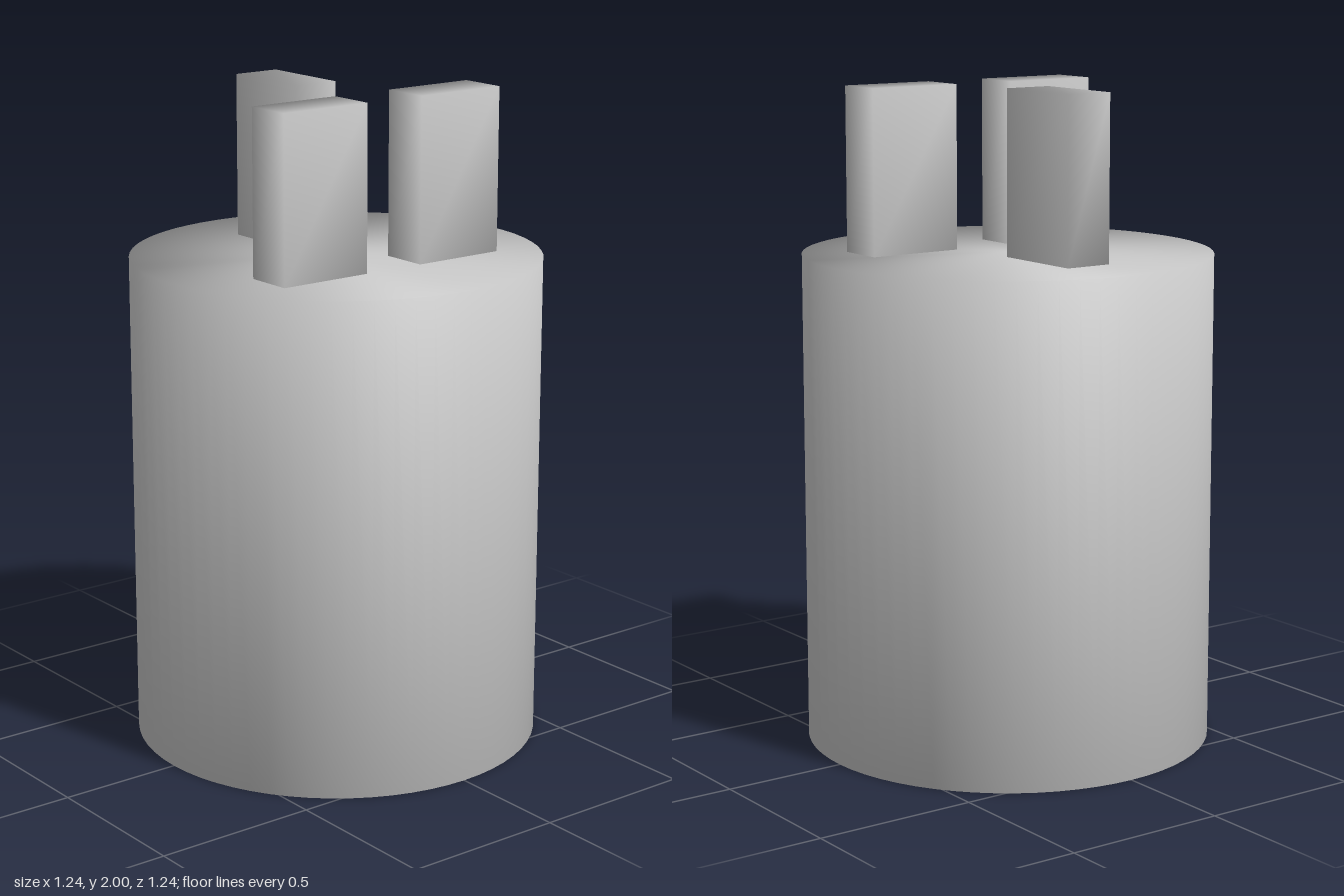
import * as THREE from 'three';
import { mergeVertices } from 'three/addons/utils/BufferGeometryUtils.js';

const RADIUS = 0.622, HEIGHT = 1.5, HOLE_RADIUS = 0.165, HOLE_DEPTH = 0.5;
const PRONG_HEIGHT = 0.5;

// Box whose corners share their normals, for soft shading
function softBox(width, height, depth) {
  const box = new THREE.BoxGeometry(width, height, depth);
  box.deleteAttribute('normal');
  box.deleteAttribute('uv');
  const soft = mergeVertices(box);
  soft.computeVertexNormals();
  return soft;
}

export function createModel() {
  const group = new THREE.Group();
  const material = new THREE.MeshStandardMaterial({ color: 0xcccccc });

  // Round body with a blind cable hole in its underside
  const profile = [
    [0, HOLE_DEPTH], [HOLE_RADIUS, HOLE_DEPTH], [HOLE_RADIUS, 0],
    [RADIUS, 0], [RADIUS, HEIGHT], [0, HEIGHT],
  ].map(([r, y]) => new THREE.Vector2(r, y));
  const body = new THREE.Mesh(new THREE.LatheGeometry(profile, 64), material);
  body.name = 'body';
  group.add(body);

  // Three rectangular prongs: two side by side at the front, one turned at the back
  const prongs = [
    ['leftProng', 0.25, 0.2, 0.3, 0.15],
    ['rightProng', -0.25, 0.2, 0.3, 0.15],
    ['backProng', 0, -0.25, 0.15, 0.3],
  ];
  for (const [name, x, z, width, depth] of prongs) {
    const prong = new THREE.Mesh(softBox(width, PRONG_HEIGHT, depth), material);
    prong.name = name;
    prong.position.set(x, HEIGHT + PRONG_HEIGHT / 2, z);
    group.add(prong);
  }

  return group;
}
